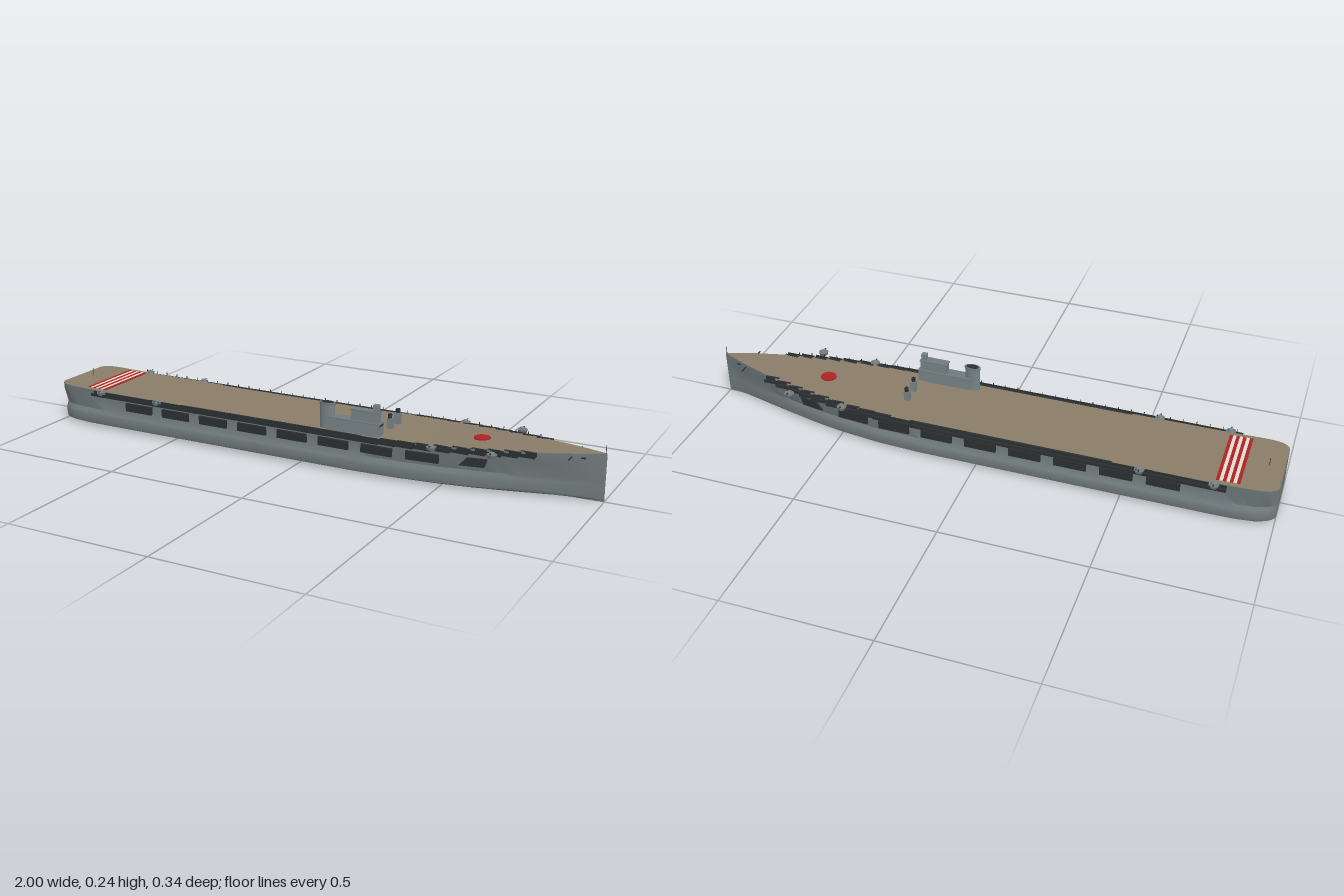
import * as THREE from 'three';
import { toCreasedNormals } from 'three/addons/utils/BufferGeometryUtils.js';

const mat = (name, color, side = THREE.FrontSide) => {
  const m = new THREE.MeshStandardMaterial({ color, side });
  m.name = name;
  return m;
};

// piecewise linear curve through [x, value] pairs
const curve = (pts) => (x) => {
  for (let i = 1; i < pts.length; i++) {
    const [x0, a] = pts[i - 1], [x1, b] = pts[i];
    if (x <= x1) return a + (b - a) * Math.max(0, (x - x0) / (x1 - x0));
  }
  return pts[pts.length - 1][1];
};

// hull lines: deck height, deck half-width and bulge half-width along the length
const sheer = curve([[-1, 0.141], [-0.8, 0.136], [-0.4, 0.133], [0.2, 0.133], [0.45, 0.137], [0.7, 0.145], [0.85, 0.151], [1, 0.157]]);
const deckHalf = curve([[-1, 0.108], [-0.992, 0.122], [-0.975, 0.134], [-0.95, 0.14], [-0.9, 0.142], [0.3, 0.142], [0.4, 0.137],
  [0.5, 0.128], [0.6, 0.113], [0.7, 0.094], [0.8, 0.07], [0.9, 0.039], [1, 0.0008]]);
const bulgeHalf = curve([[-1, 0.098], [-0.99, 0.115], [-0.97, 0.129], [-0.94, 0.14], [-0.88, 0.148], [-0.8, 0.15], [0.2, 0.15],
  [0.35, 0.143], [0.5, 0.125], [0.6, 0.106], [0.7, 0.082], [0.8, 0.054], [0.9, 0.026], [1, 0.0008]]);

const stations = [-1, -0.992, -0.985, -0.975, -0.96, -0.94, -0.91, -0.88, -0.8];
for (let x = -0.7; x < 0.99; x += 0.05) stations.push(x);
stations.push(1);

// half section from keel to deck edge as [y, z]
function section(x) {
  const b = bulgeHalf(x), d = deckHalf(x), y = sheer(x);
  const waist = Math.min(b * 0.925, d * 0.985);
  const half = [[0, 0.0001], [0.005, b * 0.6], [0.009, b * 0.92], [0.014, b * 0.985], [0.022, b], [0.046, b],
    [0.053, b * 0.98], [0.066, waist], [0.118, d * 0.985], [y, d]];
  return [...half, ...half.slice().reverse().map(([py, pz]) => [py, -pz])];
}

function surface(positions, index) {
  const g = new THREE.BufferGeometry();
  g.setAttribute('position', new THREE.Float32BufferAttribute(positions, 3));
  g.setIndex(index);
  return toCreasedNormals(g, 0.6);
}

function hullGeometry() {
  const pos = [], idx = [], n = 20;
  stations.forEach((x) => section(x).forEach(([y, z]) => pos.push(x, y, z)));
  for (let i = 0; i < stations.length - 1; i++) {
    for (let j = 0; j < n - 1; j++) {
      const a = i * n + j, c = a + n;
      idx.push(a, c, a + 1, c, c + 1, a + 1);
    }
  }
  // transom
  const mid = pos.length / 3;
  pos.push(-1, 0.07, 0);
  for (let j = 0; j < n; j++) idx.push(mid, j, (j + 1) % n);
  return surface(pos, idx);
}

function deckGeometry() {
  const pos = [], idx = [];
  stations.forEach((x, i) => {
    const y = sheer(x) + 0.001, z = deckHalf(x);
    pos.push(x, y, z, x, y, -z);
    if (i) idx.push(2 * i - 2, 2 * i, 2 * i - 1, 2 * i, 2 * i + 1, 2 * i - 1);
  });
  return surface(pos, idx);
}

export function createModel() {
  const hullGrey = mat('hull grey', 0x707a7c);
  const deckBrown = mat('deck brown', 0x8a7c68);
  const dark = mat('dark grey', 0x2c3032);
  const islandGrey = mat('island grey', 0x788486);
  const red = mat('marking red', 0xb02222);
  const white = mat('marking white', 0xe0ddd6);

  const model = new THREE.Group();
  model.name = 'ship';
  const add = (name, geo, material, x = 0, y = 0, z = 0, parent = model) => {
    const m = new THREE.Mesh(geo, material);
    m.name = name;
    m.position.set(x, y, z);
    parent.add(m);
    return m;
  };
  // box given by its extents
  const box = (name, material, x0, x1, y0, y1, z0, z1, parent) =>
    add(name, new THREE.BoxGeometry(x1 - x0, y1 - y0, z1 - z0), material, (x0 + x1) / 2, (y0 + y1) / 2, (z0 + z1) / 2, parent);
  const cyl = (name, material, r0, r1, h, x, y, z, parent) =>
    add(name, new THREE.CylinderGeometry(r0, r1, h, 16), material, x, y, z, parent);

  add('hull', hullGeometry(), hullGrey);
  add('flightDeck', deckGeometry(), deckBrown);

  // deck stripes near the stern and round marking near the bow
  for (let i = 0; i < 7; i++) {
    const x = -0.878 + i * 0.011;
    box('deckStripe', i % 2 ? white : red, x, x + 0.011, 0.134, sheer(x) + 0.003, -0.125, 0.125);
  }
  cyl('bowMarking', red, 0.027, 0.027, 0.006, 0.595, sheer(0.595) + 0.002, 0);

  // hangar openings, catwalks and gun tubs on both sides
  for (const s of [1, -1]) {
    const side = new THREE.Group();
    side.name = s > 0 ? 'leftSide' : 'rightSide';
    model.add(side);
    const strip = (name, material, x0, x1, y0, y1, za, zb) =>
      box(name, material, x0, x1, y0, y1, Math.min(s * za, s * zb), Math.max(s * za, s * zb), side);

    for (let i = 0; i < 8; i++) {
      const x = -0.695 + i * 0.155;
      const z = Math.min(deckHalf(x), deckHalf(x + 0.11)) + 0.005;
      const p = strip('hangarOpening', dark, x, x + 0.11, 0.081, 0.11, z - 0.004, z + 0.004);
      if (x > 0.3) p.rotation.y = s * 0.075;
    }
    // slanted forward opening
    const shape = new THREE.Shape([[-0.045, -0.014], [0.036, -0.014], [0.045, 0.014], [-0.02, 0.014]].map((p) => new THREE.Vector2(...p)));
    const fwd = add('forwardOpening', new THREE.ExtrudeGeometry(shape, { depth: 0.006, bevelEnabled: false }).translate(0, 0, -0.003),
      dark, 0.61, 0.099, s * 0.113, side);
    fwd.rotation.y = s * 0.17;

    // catwalk follows the deck edge in steps
    const edges = [-0.84, 0.3, 0.36, 0.42, 0.48, 0.54, 0.6, 0.65, 0.7, 0.75, 0.8];
    for (let i = 1; i < edges.length; i++) {
      const x0 = edges[i - 1], x1 = edges[i], xm = i === 1 ? 0 : (x0 + x1) / 2;
      const z = deckHalf(xm), y = sheer(xm), out = z + 0.018;
      strip('catwalkFloor', dark, x0, x1, y - 0.013, y - 0.008, z - 0.016, out);
      strip('catwalkWall', dark, x0, x1, y - 0.012, y - 0.002, out - 0.002, out);
      strip('deckEdge', dark, x0, x1, y - 0.008, y + 0.0015, z - 0.006, z + 0.002);
    }
    // catwalk rail posts
    for (let x = -0.82; x < 0.8; x += 0.045) {
      const z = deckHalf(x) + 0.017, y = sheer(x);
      strip('railPost', dark, x, x + 0.002, y - 0.01, y + 0.006, z - 0.002, z);
    }
    // gun tubs
    for (const [x, z] of [[-0.8, 0.15], [-0.56, 0.15], [0.48, 0.145], [0.68, 0.14]]) {
      const y = sheer(x);
      cyl('gunTub', hullGrey, 0.017, 0.014, 0.01, x, y - 0.004, s * z, side);
      cyl('gunMount', islandGrey, 0.008, 0.01, 0.007, x, y + 0.004, s * z, side);
      strip('gunBarrel', dark, x - 0.002, x + 0.002, y + 0.004, y + 0.006, z, z + 0.018);
    }
    // boom at the bow
    strip('bowBoom', dark, 0.899, 0.902, 0.141, 0.144, 0.035, 0.07);
    strip('mooringPort', dark, 0.925, 0.94, 0.138, 0.143, deckHalf(0.93) - 0.003, deckHalf(0.93) + 0.001);
    // deck director posts
    strip('directorBase', islandGrey, 0.275, 0.295, 0.133, 0.173, 0.022, 0.036);
    cyl('directorHead', dark, 0.007, 0.007, 0.014, 0.285, 0.179, s * 0.032, side);
  }

  // island
  const island = new THREE.Group();
  island.name = 'island';
  model.add(island);
  box('islandBase', islandGrey, 0.1, 0.292, 0.13, 0.177, 0.095, 0.133, island);
  box('islandRoof', hullGrey, 0.098, 0.294, 0.176, 0.179, 0.093, 0.135, island);
  box('bridge', islandGrey, 0.19, 0.285, 0.178, 0.213, 0.1, 0.128, island);
  box('bridgeWindows', dark, 0.286, 0.2935, 0.168, 0.173, 0.1, 0.128, island);
  box('bridgeRoof', hullGrey, 0.187, 0.288, 0.212, 0.216, 0.098, 0.13, island);
  box('directorTower', islandGrey, 0.266, 0.284, 0.215, 0.238, 0.105, 0.123, island);
  const funnel = cyl('funnel', islandGrey, 0.027, 0.027, 0.086, 0.097, 0.173, 0.113, island);
  funnel.scale.z = 0.55;
  const cap = cyl('funnelCap', hullGrey, 0.029, 0.029, 0.008, 0.097, 0.218, 0.113, island);
  cap.scale.z = 0.55;
  const mouth = cyl('funnelMouth', dark, 0.022, 0.022, 0.002, 0.097, 0.2225, 0.113, island);
  mouth.scale.z = 0.55;

  // flagstaffs at bow and stern
  cyl('bowStaff', dark, 0.001, 0.001, 0.03, 0.995, 0.17, 0);
  cyl('sternStaff', dark, 0.001, 0.001, 0.03, -0.95, 0.155, 0);
  return model;
}
